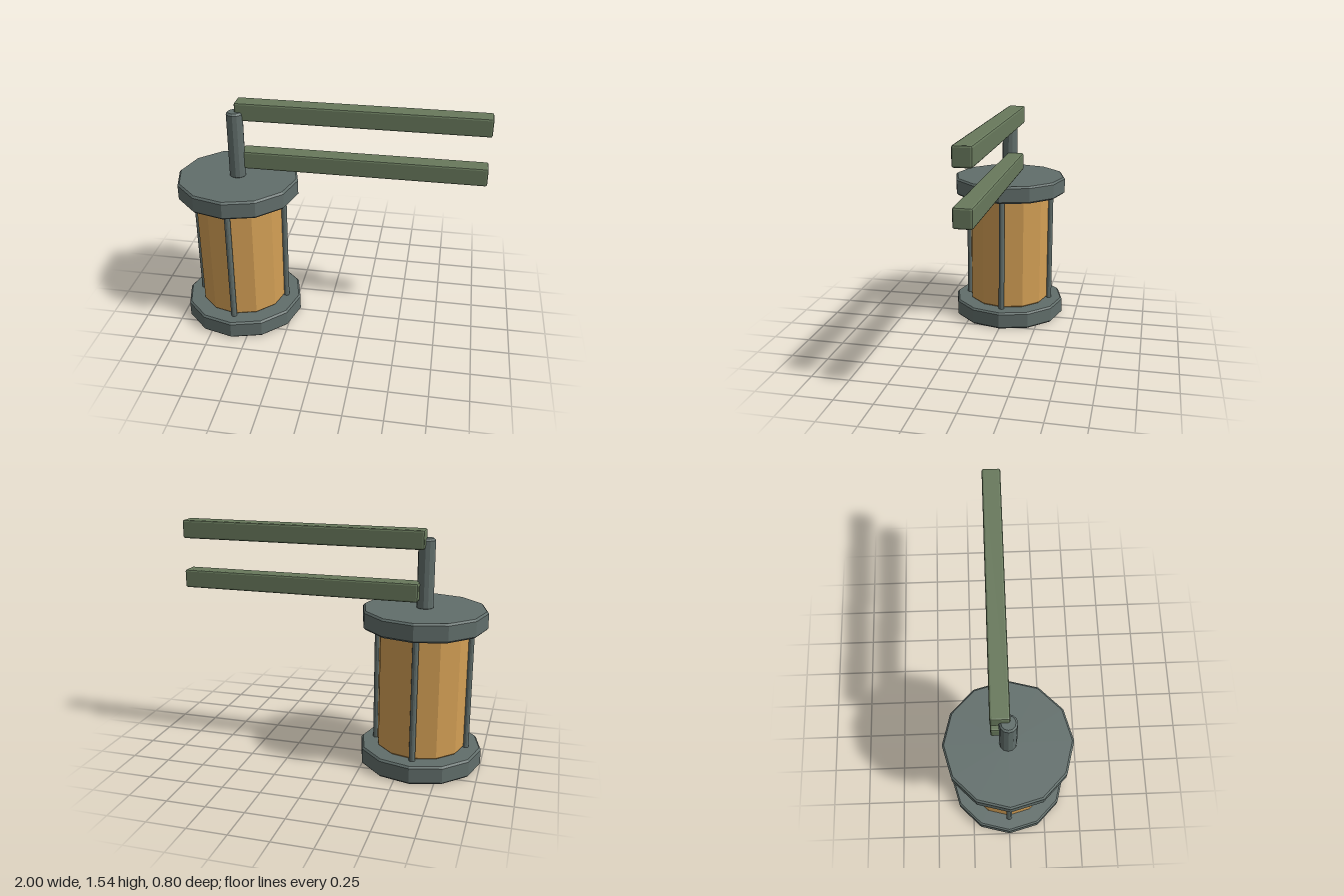
import * as THREE from 'three';
import { RoundedBoxGeometry } from 'three/addons/geometries/RoundedBoxGeometry.js';

const paint = (name, color) => {
  const m = new THREE.MeshStandardMaterial({ color });
  m.name = name;
  return m;
};

// Faceted normals stored in the geometry
function faceted(geometry) {
  const g = geometry.index ? geometry.toNonIndexed() : geometry;
  g.computeVertexNormals();
  return g;
}

// Upright prism with chamfered rims
function chamferedCylinder(r, y0, y1, bevel, sides) {
  const profile = [
    [0, y0], [r - bevel, y0], [r, y0 + bevel],
    [r, y1 - bevel], [r - bevel, y1], [0, y1],
  ].map(([x, y]) => new THREE.Vector2(x, y));
  return faceted(new THREE.LatheGeometry(profile, sides));
}

export function createModel() {
  const model = new THREE.Group();
  model.name = 'hangingLantern';
  const metal = paint('darkMetal', 0x616e6b);
  const amber = paint('amberGlass', 0xd39f55);
  const green = paint('greenBracket', 0x68795c);

  const lantern = new THREE.Group();
  lantern.name = 'lantern';
  lantern.position.x = -0.6;
  model.add(lantern);

  const add = (parent, name, geometry, material, x = 0, y = 0, z = 0) => {
    const mesh = new THREE.Mesh(geometry, material);
    mesh.name = name;
    mesh.position.set(x, y, z);
    parent.add(mesh);
  };

  // Lantern body
  add(lantern, 'base', chamferedCylinder(0.4, 0, 0.12, 0.012, 12), metal);
  add(lantern, 'glass', chamferedCylinder(0.29, 0.115, 0.925, 0.015, 12), amber);
  add(lantern, 'cap', chamferedCylinder(0.4, 0.92, 1.04, 0.012, 12), metal);

  // Four cage bars around the glass
  for (let i = 0; i < 4; i++) {
    const a = (i * Math.PI) / 2;
    add(lantern, 'cageBar' + (i + 1), chamferedCylinder(0.02, 0.11, 0.93, 0.004, 12),
      metal, Math.sin(a) * 0.3, 0, Math.cos(a) * 0.3);
  }

  // Hanging post
  add(lantern, 'post', chamferedCylinder(0.054, 1.03, 1.48, 0.012, 12), metal);

  // Two bracket arms reaching sideways
  const arms = [['upperArm', -0.6, 1.48], ['lowerArm', -0.57, 1.15]];
  for (const [name, x0, y] of arms) {
    const length = 1 - x0;
    add(model, name, faceted(new RoundedBoxGeometry(length, 0.12, 0.115, 1, 0.012)),
      green, x0 + length / 2, y, -0.047);
  }
  return model;
}
